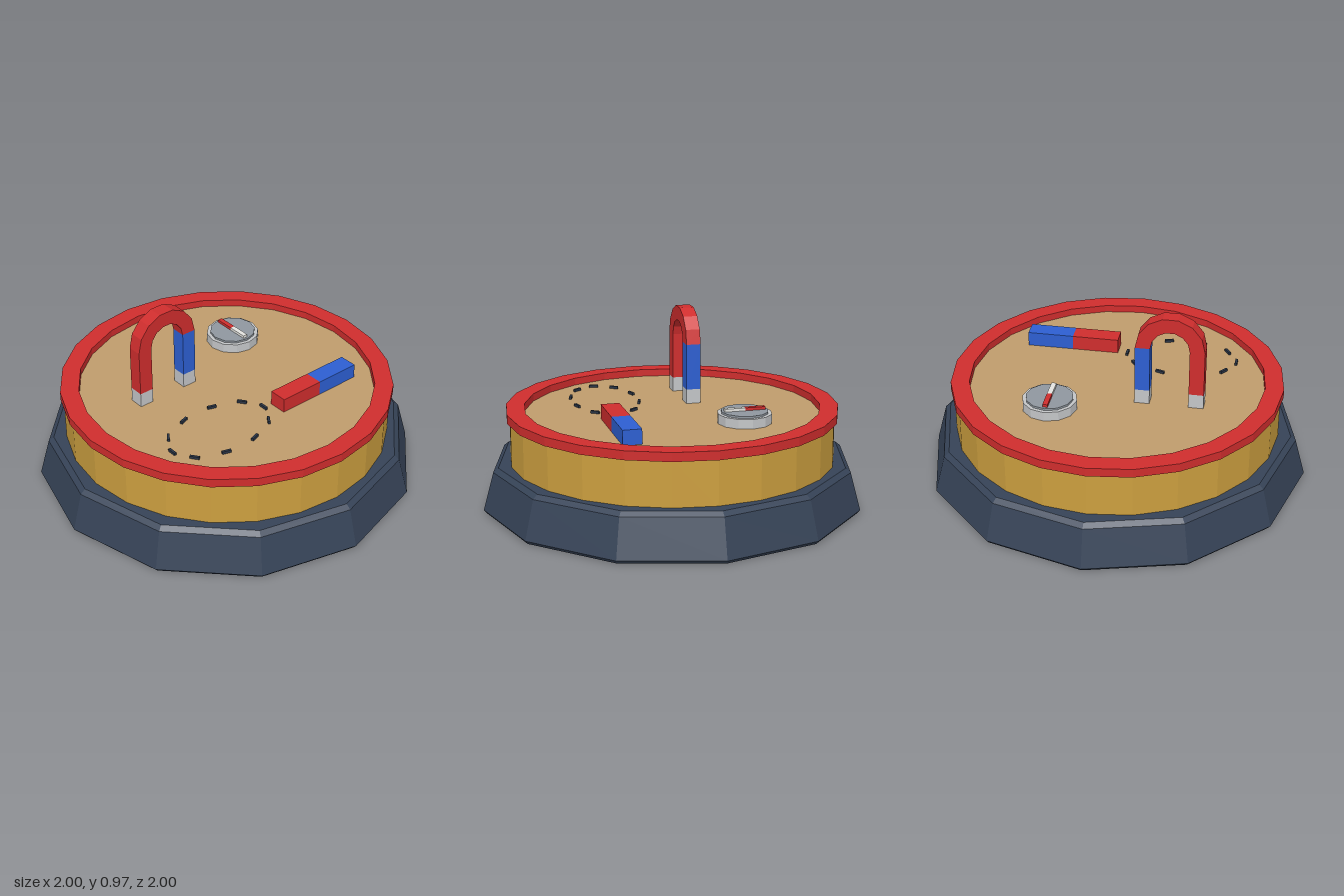
import * as THREE from 'three';

export function createModel() {
  const root = new THREE.Group();
  const mat = (name, color) => {
    const m = new THREE.MeshStandardMaterial({ color });
    m.name = name;
    return m;
  };
  const slate = mat('slate', 0x364357);
  const brass = mat('brass', 0xcc9f3f);
  const red = mat('red', 0xcf2d2d);
  const blue = mat('blue', 0x2d5fd2);
  const wood = mat('wood', 0xbf9c6c);
  const silver = mat('silver', 0xc4c6c8);
  const dial = mat('dialGrey', 0x8f979f);
  const white = mat('white', 0xe4e4e0);
  const dark = mat('dark', 0x2a3444);

  // Faceted normals for every part
  const add = (name, geo, material, x = 0, y = 0, z = 0, parent = root) => {
    const flat = geo.index ? geo.toNonIndexed() : geo;
    flat.computeVertexNormals();
    const mesh = new THREE.Mesh(flat, material);
    mesh.name = name;
    mesh.position.set(x, y, z);
    parent.add(mesh);
    return mesh;
  };
  const lathe = (pts, sides) =>
    new THREE.LatheGeometry(pts.map(([r, y]) => new THREE.Vector2(r, y)), sides);
  // Box given by its bottom centre
  const box = (name, w, h, d, material, x, y, z, parent) =>
    add(name, new THREE.BoxGeometry(w, h, d), material, x, y + h / 2, z, parent);
  const group = (name) => {
    const g = new THREE.Group();
    g.name = name;
    root.add(g);
    return g;
  };

  const floor = 0.475; // top of the board

  // Pedestal, drum, board and raised rim
  add('base', lathe([[0, 0], [0.985, 0], [1, 0.018], [0.945, 0.216], [0.918, 0.237], [0, 0.237]], 12), slate);
  add('drum', lathe([[0.85, 0.23], [0.85, 0.472]], 24), brass);
  add('board', lathe([[0.8, floor], [0, floor]], 24), wood);
  add('rim', lathe([[0.77, 0.468], [0.866, 0.468], [0.866, 0.514], [0.77, 0.514], [0.77, 0.468]], 24), red);

  // Horseshoe magnet: square legs, grey tips and a seven-sided arch
  const horseshoe = group('horseshoeMagnet');
  horseshoe.position.set(-0.297, 0, -0.15);
  const outer = 0.177, inner = 0.1, depth = 0.077, spring = 0.795, tip = 0.552;
  for (const [side, colour] of [[-1, red], [1, blue]]) {
    const x = side * (outer + inner) / 2, w = outer - inner;
    box('magnetTip', w, tip - floor, depth, silver, x, floor, 0, horseshoe);
    box('magnetLeg', w, spring - tip, depth, colour, x, tip, 0, horseshoe);
  }
  const arc = (r) => Array.from({ length: 8 }, (_, i) =>
    new THREE.Vector2(r * Math.cos(i * Math.PI / 7), r * Math.sin(i * Math.PI / 7)));
  const archShape = new THREE.Shape([...arc(outer), ...arc(inner).reverse()]);
  add('magnetArch', new THREE.ExtrudeGeometry(archShape, { depth, bevelEnabled: false }),
    red, 0, spring, -depth / 2, horseshoe);

  // Bar magnet in two halves
  const bar = group('barMagnet');
  box('barRedHalf', 0.247, 0.077, 0.097, red, 0.175, floor, 0.342, bar);
  box('barBlueHalf', 0.247, 0.077, 0.097, blue, 0.422, floor, 0.342, bar);

  // Compass: case, dial and two-tone needle
  const compass = group('compass');
  compass.position.set(0.295, 0, -0.302);
  add('compassCase', lathe([[0.141, floor], [0.141, 0.525], [0.122, 0.525]], 12), silver, 0, 0, 0, compass);
  add('compassDial', lathe([[0.122, 0.52], [0.122, 0.536], [0, 0.536]], 12), dial, 0, 0, 0, compass);
  box('needleNorth', 0.026, 0.015, 0.107, red, 0, 0.536, -0.0535, compass);
  box('needleSouth', 0.026, 0.015, 0.107, white, 0, 0.536, 0.0535, compass);

  // Dashed oval of small field-line marks
  const field = group('fieldLine');
  for (let i = 0; i < 10; i++) {
    const a = i * Math.PI / 5;
    const dash = box('fieldDash', 0.013, 0.014, 0.048, dark,
      -0.296 + 0.295 * Math.cos(a), floor, 0.295 + 0.176 * Math.sin(a), field);
    dash.rotation.y = -a;
  }
  return root;
}
